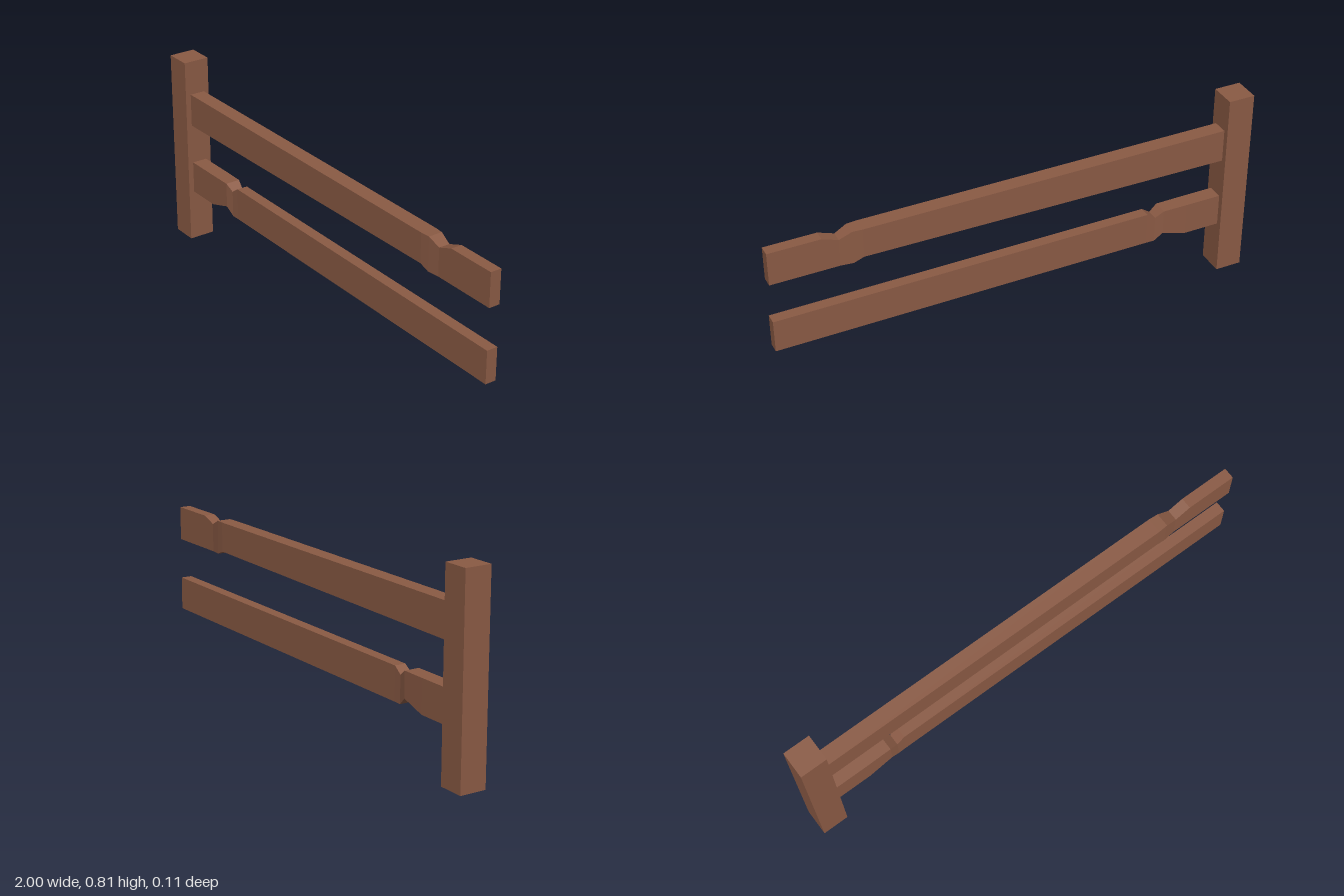
import * as THREE from 'three';

const wood = new THREE.MeshStandardMaterial({ color: 0x8a5a44, side: THREE.DoubleSide });
wood.name = 'brown wood';

// Rectangular beam lofted along x through stations [x, bottom, top, halfDepth]
function beam(name, stations) {
  const rings = stations.map(([x, b, t, h]) => [[x, b, h], [x, t, h], [x, t, -h], [x, b, -h]]);
  const pos = [];
  const quad = (a, b, c, d) => pos.push(...a, ...b, ...c, ...a, ...c, ...d);
  for (let i = 0; i < rings.length - 1; i++) {
    const p = rings[i], q = rings[i + 1];
    for (let k = 0; k < 4; k++) {
      const n = (k + 1) % 4;
      quad(p[k], q[k], q[n], p[n]);
    }
  }
  const s = rings[0], e = rings[rings.length - 1];
  quad(s[0], s[1], s[2], s[3]);
  quad(e[3], e[2], e[1], e[0]);
  const g = new THREE.BufferGeometry();
  g.setAttribute('position', new THREE.Float32BufferAttribute(pos, 3));
  g.computeVertexNormals();
  const mesh = new THREE.Mesh(g, wood);
  mesh.name = name;
  return mesh;
}

export function createModel() {
  const fence = new THREE.Group();
  fence.name = 'fence';

  // Post, hollow underneath: the bottom face is left out
  const box = new THREE.BoxGeometry(0.11, 0.805, 0.11);
  const index = Array.from(box.index.array);
  index.splice(18, 6);
  box.setIndex(index);
  box.clearGroups();
  const post = new THREE.Mesh(box, wood);
  post.name = 'post';
  post.position.set(-0.945, 0.4025, 0);
  fence.add(post);

  // Upper rail, notched near its free end
  fence.add(beam('upperRail', [
    [-0.89, 0.522, 0.661, 0.032],
    [0.635, 0.539, 0.661, 0.032],
    [0.675, 0.522, 0.661, 0.029],
    [0.725, 0.522, 0.637, 0.023],
    [0.79, 0.522, 0.661, 0.023],
    [1, 0.522, 0.661, 0.023],
  ]));

  // Lower rail, notched near the post
  fence.add(beam('lowerRail', [
    [-0.89, 0.217, 0.353, 0.032],
    [-0.74, 0.217, 0.353, 0.032],
    [-0.635, 0.249, 0.353, 0.031],
    [-0.6, 0.217, 0.328, 0.024],
    [-0.565, 0.217, 0.353, 0.023],
    [1, 0.217, 0.353, 0.023],
  ]));

  return fence;
}
